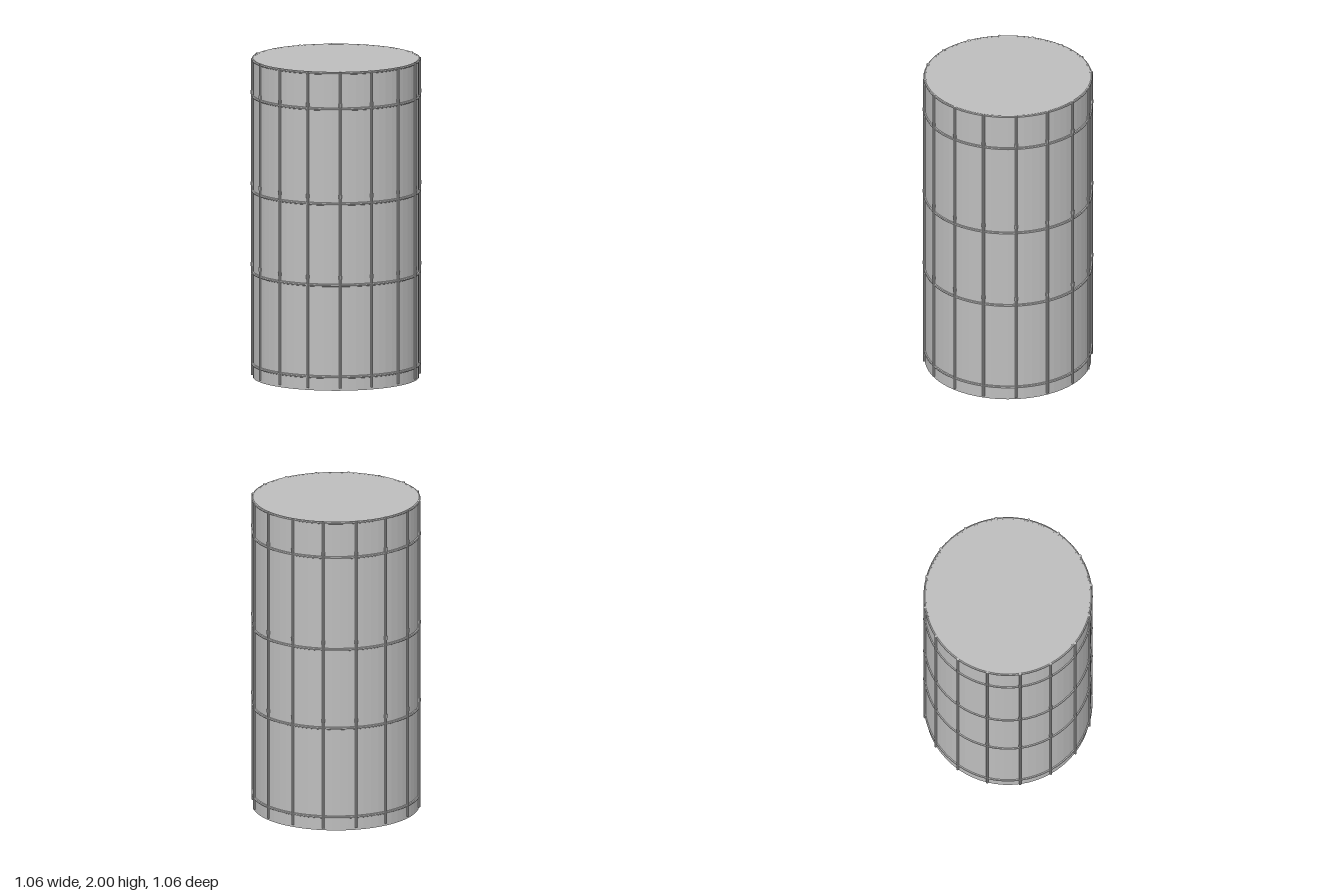
import * as THREE from 'three';

export function createModel() {
  const model = new THREE.Group();
  const steel = new THREE.MeshStandardMaterial({ color: 0xbdbdbd, flatShading: true });
  steel.name = 'grey steel';

  const add = (name, geometry, x, y, z, parent = model) => {
    const mesh = new THREE.Mesh(geometry, steel);
    mesh.name = name;
    mesh.position.set(x, y, z);
    parent.add(mesh);
    return mesh;
  };

  // Solid drum
  add('drum', new THREE.CylinderGeometry(0.514, 0.514, 1.997, 64), 0, 0.9985, 0);

  // Horizontal hoops
  const hoopGeometry = new THREE.TorusGeometry(0.514, 0.009, 8, 64).rotateX(Math.PI / 2);
  for (const y of [0.085, 0.66, 1.17, 1.765, 1.991]) add('hoop', hoopGeometry, 0, y, 0);

  // Vertical rods, each with three couplings just above the middle hoops
  const rodGeometry = new THREE.CylinderGeometry(0.008, 0.008, 1.985, 10);
  const couplingGeometry = new THREE.CylinderGeometry(0.011, 0.011, 0.022, 10);
  for (let i = 0; i < 16; i++) {
    const angle = (i / 16) * Math.PI * 2;
    const rod = new THREE.Group();
    rod.name = 'rodAssembly';
    rod.position.set(Math.sin(angle) * 0.519, 0, Math.cos(angle) * 0.519);
    rod.rotation.y = angle;
    add('rod', rodGeometry, 0, 1.0075, 0, rod);
    for (const y of [0.71, 1.217, 1.79]) add('coupling', couplingGeometry, 0, y, 0, rod);
    model.add(rod);
  }
  return model;
}
